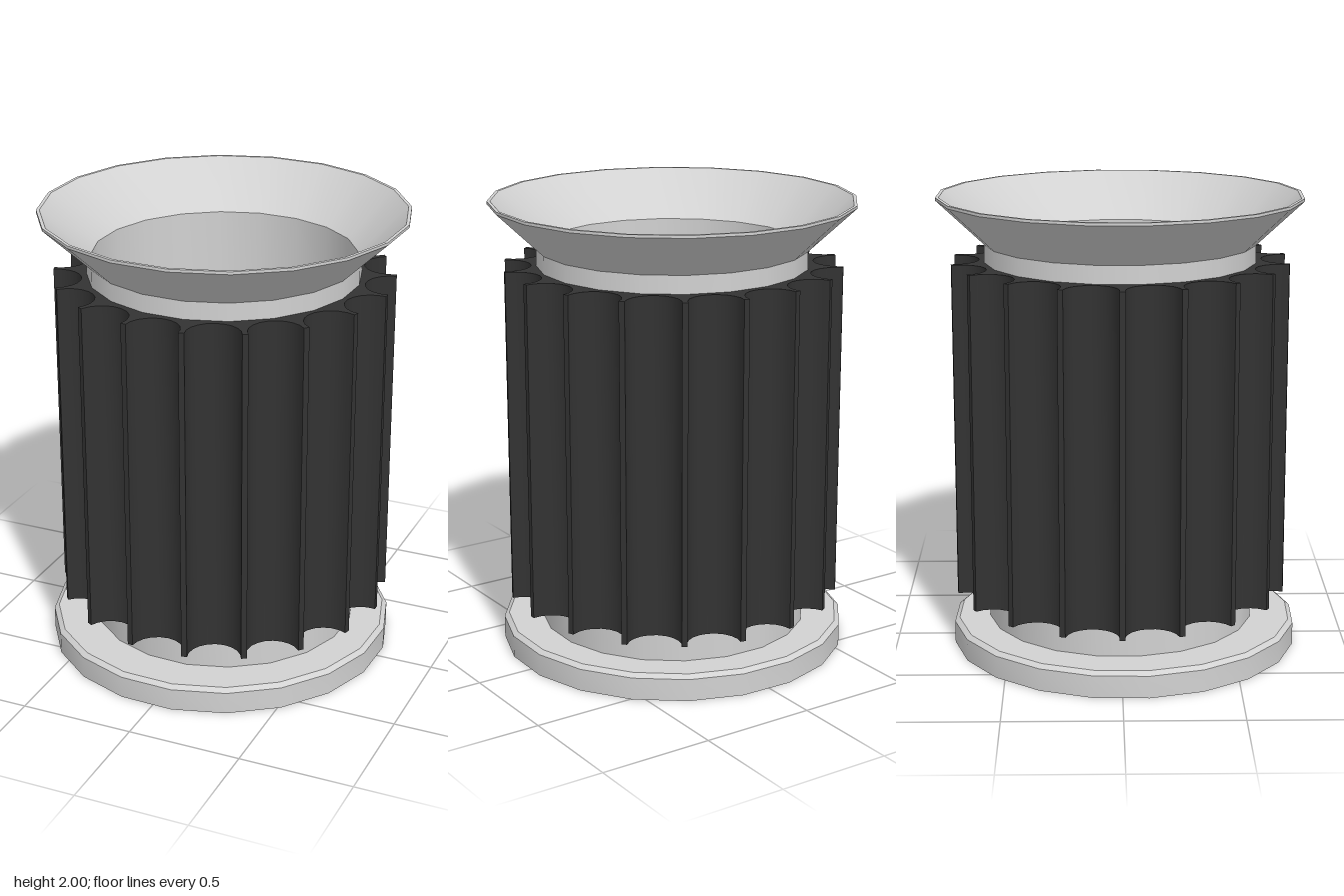
import * as THREE from 'three';
import { toCreasedNormals } from 'three/addons/utils/BufferGeometryUtils.js';

const SIDES = 20;
const TURN = THREE.MathUtils.degToRad(7.3);

// Turned part: profile runs up the outside, then down the inside
function turned(name, profile, material) {
  const points = profile.map(([r, y]) => new THREE.Vector2(r, y));
  const geometry = new THREE.LatheGeometry(points, SIDES, TURN);
  const mesh = new THREE.Mesh(toCreasedNormals(geometry, 0.5), material);
  mesh.name = name;
  return mesh;
}

// Ring outline with round flutes cut between narrow ridges
function flutedOutline(count, radius, cut, hole) {
  const shape = new THREE.Shape();
  const step = (Math.PI * 2) / count;
  const centre = radius * Math.cos(step / 2);
  const steps = 10;
  for (let i = 0; i < count; i++) {
    const a = (i + 0.5) * step;
    for (let j = 0; j <= steps; j++) {
      const t = (j / steps - 0.5) * Math.PI;
      const r = centre - cut * Math.cos(t);
      const s = cut * Math.sin(t);
      const x = r * Math.cos(a) - s * Math.sin(a);
      const y = r * Math.sin(a) + s * Math.cos(a);
      if (i + j === 0) shape.moveTo(x, y);
      else shape.lineTo(x, y);
    }
  }
  shape.closePath();
  const inner = new THREE.Path();
  inner.absarc(0, 0, hole, 0, Math.PI * 2, true);
  shape.holes.push(inner);
  return shape;
}

export function createModel() {
  const group = new THREE.Group();
  group.name = 'flutedHolder';

  const silver = new THREE.MeshStandardMaterial({ color: 0xd2d2d2 });
  silver.name = 'silver';
  const black = new THREE.MeshStandardMaterial({ color: 0x333333 });
  black.name = 'black';
  const gold = new THREE.MeshStandardMaterial({ color: 0xdccb88 });
  gold.name = 'paleGold';

  // Base disc with a small bevel
  const base = turned('base', [[0, 0], [0.763, 0], [0.763, 0.098], [0.742, 0.115], [0, 0.115]], silver);
  base.position.set(-0.01, 0, 0.017);
  group.add(base);

  // Hollow tube that flares into the funnel, with a floor inside
  group.add(turned('tubeAndFunnel', [
    [0.588, 0.1], [0.588, 1.795], [0.792, 1.988], [0.792, 2],
    [0.778, 2], [0.57, 1.8], [0.57, 0.13], [0, 0.13],
  ], silver));

  // Fluted grip sleeve
  const sleeveGeometry = new THREE.ExtrudeGeometry(flutedOutline(18, 0.735, 0.115, 0.579), {
    depth: 1.475, bevelEnabled: false, curveSegments: 40,
  });
  sleeveGeometry.rotateX(-Math.PI / 2);
  const sleeve = new THREE.Mesh(toCreasedNormals(sleeveGeometry, 0.5), black);
  sleeve.name = 'flutedSleeve';
  sleeve.position.y = 0.242;
  group.add(sleeve);

  // Ball resting within the tube
  const ball = new THREE.Mesh(new THREE.SphereGeometry(0.527, 16, 12), gold);
  ball.name = 'innerBall';
  ball.position.set(-0.005, 0.98, 0);
  group.add(ball);

  return group;
}
